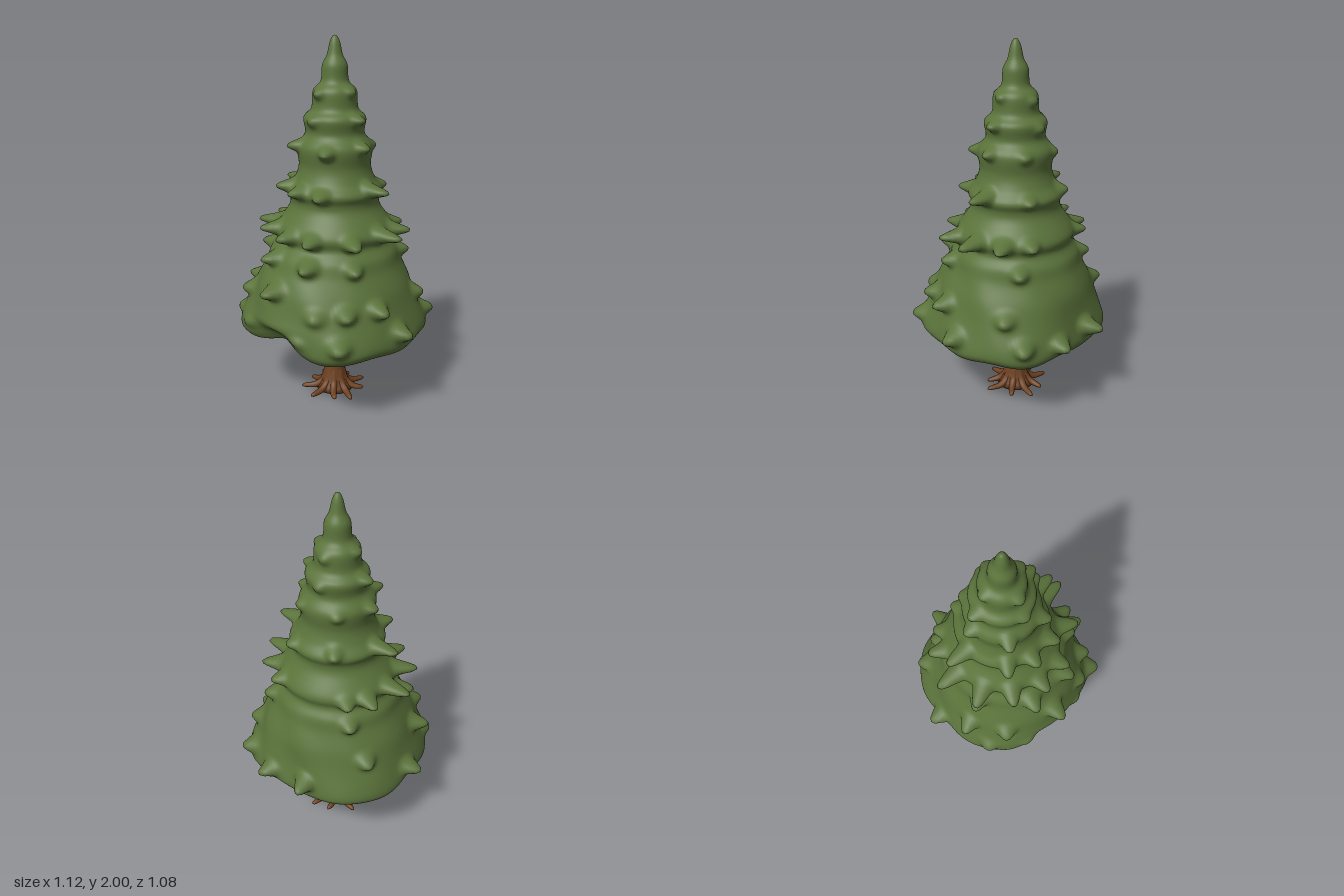
import * as THREE from 'three';
import { mergeVertices } from 'three/addons/utils/BufferGeometryUtils.js';

const needleGreen = new THREE.MeshStandardMaterial({ color: 0x5b733b });
needleGreen.name = 'needle green';
const barkBrown = new THREE.MeshStandardMaterial({ color: 0x6e4122 });
barkBrown.name = 'bark brown';

const smooth = THREE.MathUtils.smoothstep;

// Weld seams so that normals run smoothly around the shape
function weld(geo) {
  geo.deleteAttribute('uv');
  geo.deleteAttribute('normal');
  const out = mergeVertices(geo, 1e-5);
  out.computeVertexNormals();
  return out;
}

// Tube with a rounded tip that thins from r0 to r1, kept above the ground
function limb(points, r0, r1) {
  const curve = new THREE.CatmullRomCurve3(points);
  const rows = 20, sides = 12;
  const geo = new THREE.TubeGeometry(curve, rows, 1, sides);
  const pos = geo.attributes.position, v = new THREE.Vector3();
  for (let i = 0; i < pos.count; i++) {
    const t = Math.floor(i / (sides + 1)) / rows;
    const c = curve.getPointAt(t);
    const r = (r0 + (r1 - r0) * t) * Math.sqrt(Math.max(0, 1 - t ** 14));
    v.fromBufferAttribute(pos, i).sub(c).multiplyScalar(r).add(c);
    pos.setXYZ(i, v.x, Math.max(0, v.y), v.z);
  }
  return weld(geo);
}

// Radius of the foliage where each tier of branch tips grows
const body = (y) => (y < 0.9 ? 0.47 - (y - 0.5) * 0.36 : 0.31 - (y - 0.99) * 0.263);

// How the lower body departs from round: full front, flat back, broad corners, soft waves
function fullness(a, y) {
  const low = 1 - smooth(y, 0.75, 1.0), skirt = 1 - smooth(y, 0.45, 0.8);
  const front = Math.max(0, Math.cos(a)) ** 3, back = Math.max(0, -Math.cos(a)) ** 3;
  const corner = Math.sin(2 * a) ** 2;
  return 1 + low * (0.1 * front + 0.01 * Math.sin(a * 9 + y * 14))
    + skirt * (0.07 * corner - 0.04 * front - 0.08 * back);
}

// A tier of branch tips: reach from the axis, extra reach to the sides, angles in degrees from the front
function tier(y, reach, wide, angles) {
  return angles.map((deg, i) => {
    const angle = THREE.MathUtils.degToRad(deg);
    const tipY = y + 0.014 * Math.sin(i * 2.4);
    const length = reach + wide * Math.sin(angle) ** 4 - 0.04 * Math.max(0, -Math.cos(angle));
    return { angle, y: tipY, push: Math.max(0.02, length - body(tipY) * fullness(angle, tipY)) };
  });
}

// Angles of a regular ring, starting at the front
const ring = (n) => Array.from({ length: n }, (_, i) => i * 360 / n);

const tips = [
  ...tier(0.49, 0.535, 0.025, [-90, 90, 21, -50, -23]),
  ...tier(0.49, 0.585, 0, [47, 137, 162, -169]),
  ...tier(0.64, 0.5, 0.02, [75, -66, 32, -38, 52, 125, -125]),
  ...tier(0.72, 0.525, 0, [0]),
  ...tier(0.855, 0.44, -0.04, [23, -15, 60, -62, 135, -135]),
  ...tier(0.985, 0.4, 0.05, [-90, 93, 60, -60, -3, 23, -32, -117, 120, 146, -137]),
  ...tier(1.215, 0.32, 0.055, [-90, 93, 28, -35, -4, 148, -149]),
  ...tier(1.43, 0.255, -0.015, [-90, 90, 32, -32, 146, -146]),
  ...tier(1.57, 0.18, 0.02, ring(4)),
  ...tier(1.71, 0.15, -0.01, ring(4)),
];

function foliageGeometry() {
  // Radius and height, from the underside centre up to the peak
  const profile = [
    [0, 0.41], [0.15, 0.405], [0.32, 0.39], [0.43, 0.376], [0.472, 0.397], [0.485, 0.45],
    [0.44, 0.6], [0.41, 0.7], [0.365, 0.8], [0.345, 0.87], [0.31, 0.93], [0.318, 0.995],
    [0.25, 1.1], [0.24, 1.15], [0.255, 1.2], [0.215, 1.26], [0.193, 1.33], [0.2, 1.43],
    [0.158, 1.5], [0.165, 1.58], [0.124, 1.63], [0.115, 1.72], [0.074, 1.77],
    [0.066, 1.85], [0.042, 1.9], [0.028, 1.96], [0.014, 1.993], [0, 2],
  ].map(([r, y]) => new THREE.Vector2(r, y));
  const line = new THREE.SplineCurve(profile).getSpacedPoints(200);
  line.forEach((p) => { p.x = Math.max(0, p.x); });
  const geo = new THREE.LatheGeometry(line, 160);
  const pos = geo.attributes.position;

  for (let i = 0; i < pos.count; i++) {
    const x = pos.getX(i), z = pos.getZ(i), r = Math.hypot(x, z);
    let y = pos.getY(i);
    if (r < 1e-6) continue;
    const a = Math.atan2(x, z);
    const under = 1 - smooth(y, 0.4, 0.56);
    // Hollow under the front edge
    const hollow = Math.exp(-((a / 0.4) ** 2));
    let out = r * fullness(a, y) * (1 - 0.2 * hollow * under);
    // Rounded branch tips, slimmer towards the peak
    const limit = smooth(r, 0.02, 0.08);
    const width = 0.026 + 0.04 * r;
    for (const t of tips) {
      const dy = (y - t.y) / (width * 0.85);
      const da = Math.atan2(Math.sin(a - t.angle), Math.cos(a - t.angle)) * r / width;
      out += t.push * Math.exp(-((dy * dy + da * da) ** 1.2)) * limit;
    }
    // Uneven lower rim
    y += (0.05 * hollow + 0.008 * Math.sin(a * 7)) * under * smooth(r, 0.2, 0.45);
    pos.setXYZ(i, x / r * out, y, z / r * out);
  }
  return weld(geo);
}

export function createModel() {
  const tree = new THREE.Group();
  tree.name = 'pineTree';
  const add = (name, geo, mat) => {
    const mesh = new THREE.Mesh(geo, mat);
    mesh.name = name;
    tree.add(mesh);
  };

  add('foliage', foliageGeometry(), needleGreen);

  // Trunk, flaring towards the ground
  const trunkLine = [[0, 0], [0.105, 0], [0.09, 0.025], [0.072, 0.06], [0.06, 0.12], [0.054, 0.22], [0.044, 0.42], [0, 0.42]];
  const trunk = new THREE.LatheGeometry(trunkLine.map((p) => new THREE.Vector2(...p)), 40);
  add('trunk', weld(trunk), barkBrown);

  const at = (r, y, a) => new THREE.Vector3(r * Math.sin(a), y, r * Math.cos(a));

  // Roots spreading over the ground
  for (let i = 0; i < 9; i++) {
    const a = i / 9 * Math.PI * 2, bend = a + 0.12 * Math.sin(i * 2.3);
    const reach = 0.182 + 0.012 * Math.cos(i * 3.1);
    add('root', limb([at(0.035, 0.12, a), at(0.065, 0.045, a), at(0.11, 0.014, a), at(reach, 0.005, bend)], 0.026, 0.014), barkBrown);
  }

  // Bare branches below the foliage, longest to the sides
  for (const deg of [-90, 90, -32, 32, -148, 148]) {
    const a = THREE.MathUtils.degToRad(deg);
    const reach = Math.abs(deg) === 90 ? 0.29 : 0.245;
    add('branch', limb([at(0.02, 0.285, a), at(reach * 0.4, 0.335, a), at(reach * 0.7, 0.352, a), at(reach, 0.366, a)], 0.018, 0.011), barkBrown);
  }
  return tree;
}
